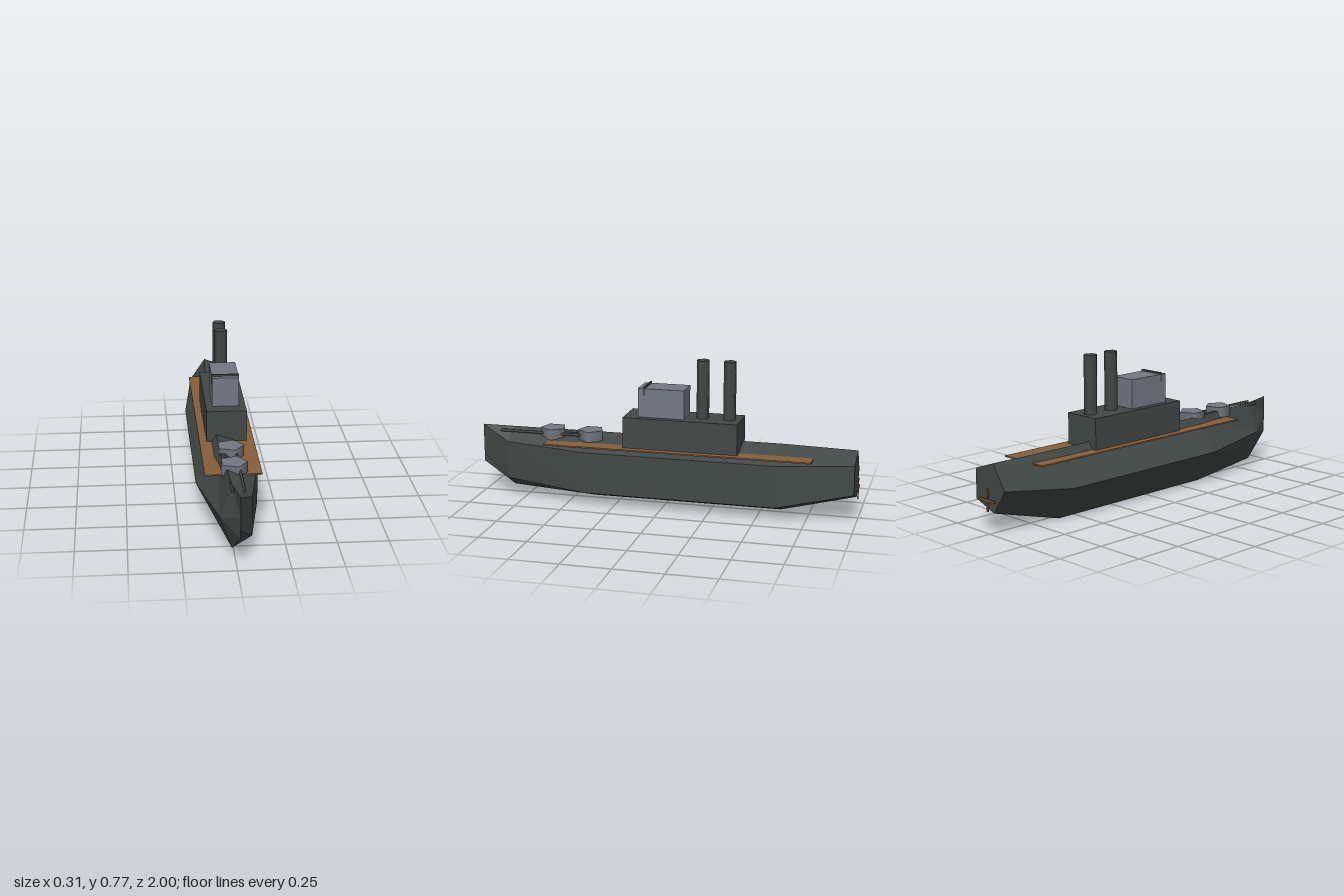
import * as THREE from 'three';

const CX = 0.0136; // common centre line of every part

function makeMaterial(name, color) {
  const m = new THREE.MeshStandardMaterial({ color });
  m.name = name;
  return m;
}

// Five-sided hull lofted through stations of [z, centre y, x radius, y radius]
function hullGeometry() {
  const stations = [
    [1.0, 0.266, 0.0005, 0.1067],
    [0.84, 0.2, 0.084, 0.168],
    [0.4, 0.1786, 0.1686, 0.1846],
    [-0.6, 0.1786, 0.1686, 0.1846],
    [-0.987, 0.2285, 0.118, 0.128],
  ];
  const sides = 5;
  const pos = [];
  const index = [];
  for (const [z, cy, rx, ry] of stations) {
    for (let j = 0; j < sides; j++) {
      const a = Math.PI + (j / sides) * Math.PI * 2;
      pos.push(CX + rx * Math.cos(a), cy + ry * Math.sin(a), z);
    }
  }
  for (let i = 0; i < stations.length - 1; i++) {
    for (let j = 0; j < sides; j++) {
      const k = (j + 1) % sides;
      const a = i * sides;
      const b = a + sides;
      index.push(a + j, b + j, a + k, a + k, b + j, b + k);
    }
  }
  // bow and stern caps
  const last = (stations.length - 1) * sides;
  for (let j = 1; j < sides - 1; j++) {
    index.push(0, j, j + 1, last, last + j + 1, last + j);
  }
  const g = new THREE.BufferGeometry();
  g.setAttribute('position', new THREE.Float32BufferAttribute(pos, 3));
  g.setIndex(index);
  const flat = g.toNonIndexed();
  flat.computeVertexNormals();
  return flat;
}

export function createModel() {
  const root = new THREE.Group();
  root.name = 'warship';

  const dark = makeMaterial('darkSteel', 0x414846);
  const grey = makeMaterial('greySteel', 0x737783);
  const wood = makeMaterial('brownDeck', 0x865f3a);

  const add = (name, geometry, material, x, y, z, parent = root) => {
    const mesh = new THREE.Mesh(geometry, material);
    mesh.name = name;
    mesh.position.set(x, y, z);
    parent.add(mesh);
    return mesh;
  };
  // box given by width and its y and z ranges, on the centre line
  const box = (name, material, w, y0, y1, z0, z1) =>
    add(name, new THREE.BoxGeometry(w, y1 - y0, z1 - z0), material,
      CX, (y0 + y1) / 2, (z0 + z1) / 2);

  add('hull', hullGeometry(), dark, 0, 0, 0);

  // deck and superstructure
  box('deck', wood, 0.276, 0.311, 0.318, -0.775, 0.62);
  box('deckhouse', dark, 0.202, 0.318, 0.478, -0.395, 0.202);
  box('bridge', grey, 0.136, 0.478, 0.628, -0.113, 0.128);
  box('bridgeVisor', dark, 0.141, 0.592, 0.637, 0.09, 0.1);

  // funnels
  for (const z of [-0.196, -0.335]) {
    const g = new THREE.CylinderGeometry(0.0335, 0.0335, 0.3, 6);
    g.rotateY(Math.PI / 2);
    add('funnel', g, dark, CX, 0.628, z);
  }

  // twin-gun turrets
  for (const z of [0.4, 0.605]) {
    const turret = new THREE.Group();
    turret.name = 'gunTurret';
    turret.position.set(CX, 0, z);
    root.add(turret);
    const house = new THREE.CylinderGeometry(0.07, 0.07, 0.054, 5);
    house.rotateY(Math.PI / 2);
    add('turretHouse', house, grey, 0, 0.35, 0, turret);
    for (const side of [-1, 1]) {
      const barrel = new THREE.CylinderGeometry(0.0075, 0.0075, 0.285, 6);
      barrel.rotateY(Math.PI / 2);
      barrel.rotateX(Math.PI / 2);
      add('gunBarrel', barrel, dark, side * 0.028, 0.349, 0.1425, turret);
    }
  }

  // crossed propeller blades behind the stern
  add('propellerBlade', new THREE.BoxGeometry(0.11, 0.01, 0.006), wood, CX, 0.165, -0.997);
  add('propellerBlade', new THREE.BoxGeometry(0.01, 0.11, 0.006), wood, CX, 0.165, -0.997);

  return root;
}
